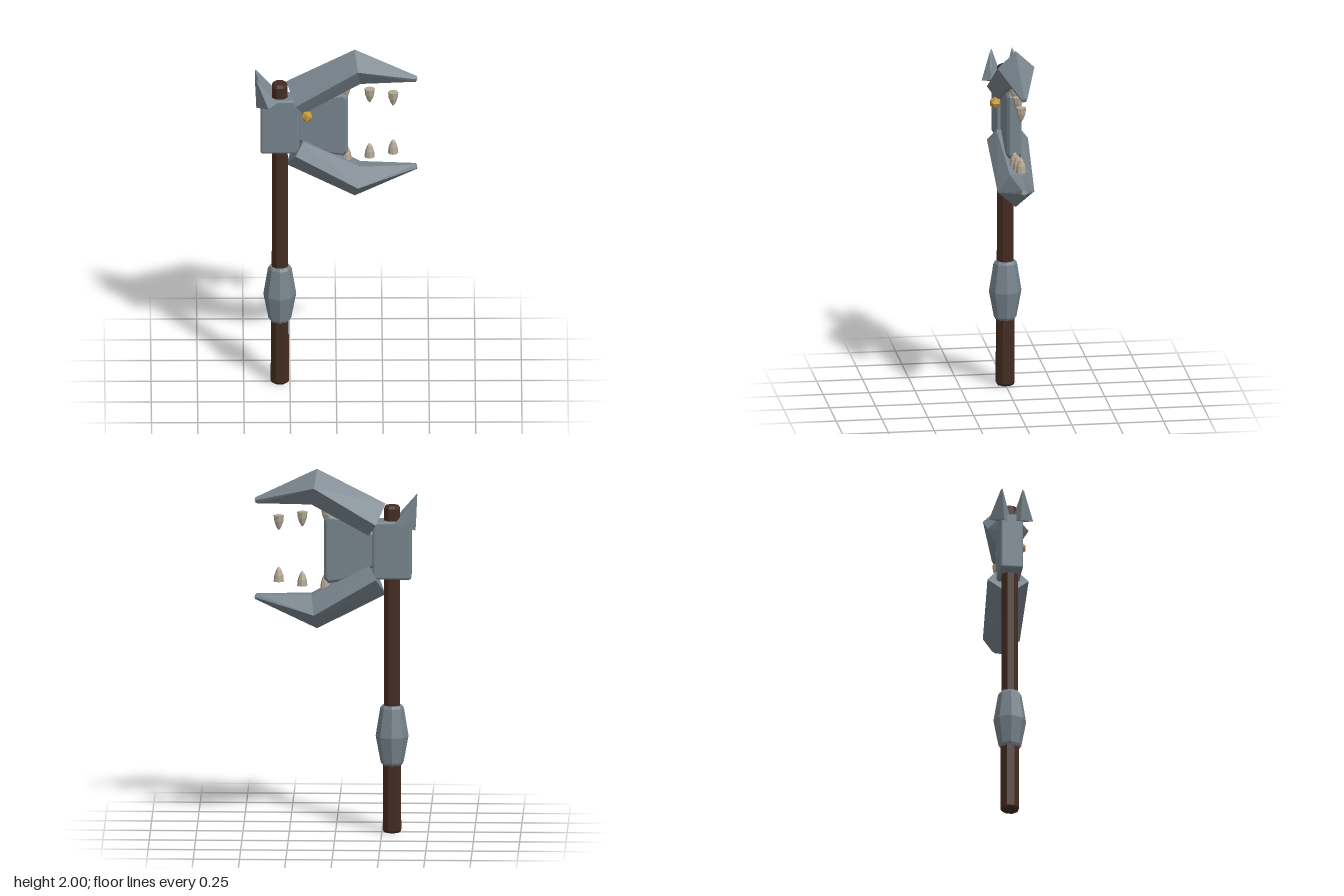
import * as THREE from 'three';
import { RoundedBoxGeometry } from 'three/addons/geometries/RoundedBoxGeometry.js';
import { ConvexGeometry } from 'three/addons/geometries/ConvexGeometry.js';

const HANDLE_X = -0.305, MID_Y = 1.56;

function material(name, color) {
  const m = new THREE.MeshStandardMaterial({ color });
  m.name = name;
  return m;
}

// Faceted geometry: every triangle keeps its own normal
function faceted(geometry) {
  const g = geometry.index ? geometry.toNonIndexed() : geometry;
  g.computeVertexNormals();
  return g;
}

function lathe(profile, sides) {
  return faceted(new THREE.LatheGeometry(profile.map(([r, y]) => new THREE.Vector2(r, y)), sides));
}

// Jaw half: hull of two neighbouring cross-sections [ridge, side, inner]
function section([ridge, side, inner]) {
  const pts = [new THREE.Vector3(ridge[0], ridge[1], 0)];
  for (const s of [1, -1]) {
    pts.push(new THREE.Vector3(side[0], side[1], s * side[2]));
    pts.push(new THREE.Vector3(inner[0], inner[1], s * inner[2]));
  }
  return pts;
}

export function createModel() {
  const steel = material('steel', 0x77838c);
  const wood = material('dark wood', 0x432b20);
  const bone = material('bone', 0xb3a893);
  const gold = material('gold', 0xc8963a);

  const group = new THREE.Group();
  const add = (name, geometry, mat, x = 0, y = 0, z = 0, parent = group) => {
    const mesh = new THREE.Mesh(geometry, mat);
    mesh.name = name;
    mesh.position.set(x, y, z);
    parent.add(mesh);
    return mesh;
  };

  // Octagonal shaft with bevelled ends
  const shaft = lathe([[0, 0], [0.044, 0], [0.053, 0.012], [0.052, 0.37], [0.047, 0.7],
    [0.046, 1.785], [0.037, 1.8], [0, 1.8]], 8);
  add('handle', shaft.rotateY(Math.PI / 8), wood, HANDLE_X);

  // Swollen collar on the shaft
  add('grip', lathe([[0, 0.37], [0.052, 0.37], [0.062, 0.385], [0.089, 0.53],
    [0.064, 0.685], [0.054, 0.7], [0, 0.7]], 8), steel, HANDLE_X);

  // Head block around the shaft
  add('headBlock', new RoundedBoxGeometry(0.21, 0.32, 0.124, 2, 0.014), steel, HANDLE_X, MID_Y);

  // Throat plate between the jaws
  const outline = [[-0.23, 1.63], [-0.03, 1.725], [0.035, 1.735], [0.048, 1.72],
    [0.048, 1.405], [0.035, 1.39], [-0.03, 1.4], [-0.23, 1.49]];
  const plate = new THREE.ExtrudeGeometry(
    new THREE.Shape(outline.map(([x, y]) => new THREE.Vector2(x, y))),
    { depth: 0.052, bevelEnabled: true, bevelSize: 0.014, bevelThickness: 0.014, bevelSegments: 1 });
  add('throatPlate', plate, steel, 0, 0, -0.026);

  // Upper and lower jaws, mirrored about the middle of the head
  const sections = [
    [[-0.27, 1.81], [-0.22, 1.71, 0.112], [-0.18, 1.645, 0.065]],
    [[0.1, 2.0], [0.116, 1.91, 0.1], [0.13, 1.81, 0.035]],
    [[0.435, 1.84], [0.437, 1.827, 0.016], [0.43, 1.81, 0.01]],
  ].map(section);
  for (const up of [true, false]) {
    const jaw = new THREE.Group();
    jaw.name = up ? 'upperJaw' : 'lowerJaw';
    const place = (p) => new THREE.Vector3(p.x, up ? p.y : 2 * MID_Y - p.y, p.z);
    for (let i = 0; i < 2; i++) {
      const pts = [...sections[i], ...sections[i + 1]].map(place);
      add(i ? 'jawTip' : 'jawBase', new ConvexGeometry(pts), steel, 0, 0, 0, jaw);
    }
    group.add(jaw);
  }

  // Teeth: bullet-shaped cones, [x, base y, direction]
  const tooth = lathe([[0, 0], [0.028, 0], [0.024, 0.035], [0.013, 0.066], [0, 0.083]], 8);
  const teeth = [[0.05, 1.785, -1], [0.18, 1.763, -1], [0.307, 1.743, -1],
    [0.055, 1.343, 1], [0.18, 1.355, 1], [0.307, 1.378, 1]];
  for (const [x, y, dir] of teeth) {
    const mesh = add('tooth', tooth, bone, x, y, 0);
    if (dir < 0) mesh.rotation.x = Math.PI;
  }

  // Pointed ears leaning back from the head block
  for (const s of [1, -1]) {
    const pts = [[-0.432, 1.672, 0.045], [-0.366, 1.7, 0.12], [-0.32, 1.715, 0.075],
      [-0.385, 1.685, 0.002], [-0.44, 1.855, 0.055], [-0.432, 1.845, 0.064]]
      .map(([x, y, z]) => new THREE.Vector3(x, y, s * z));
    add(s > 0 ? 'frontEar' : 'backEar', new ConvexGeometry(pts), steel);
  }

  // Faceted eye on the front face
  add('eye', new THREE.IcosahedronGeometry(0.032, 0), gold, -0.158, 1.635, 0.075);

  return group;
}
